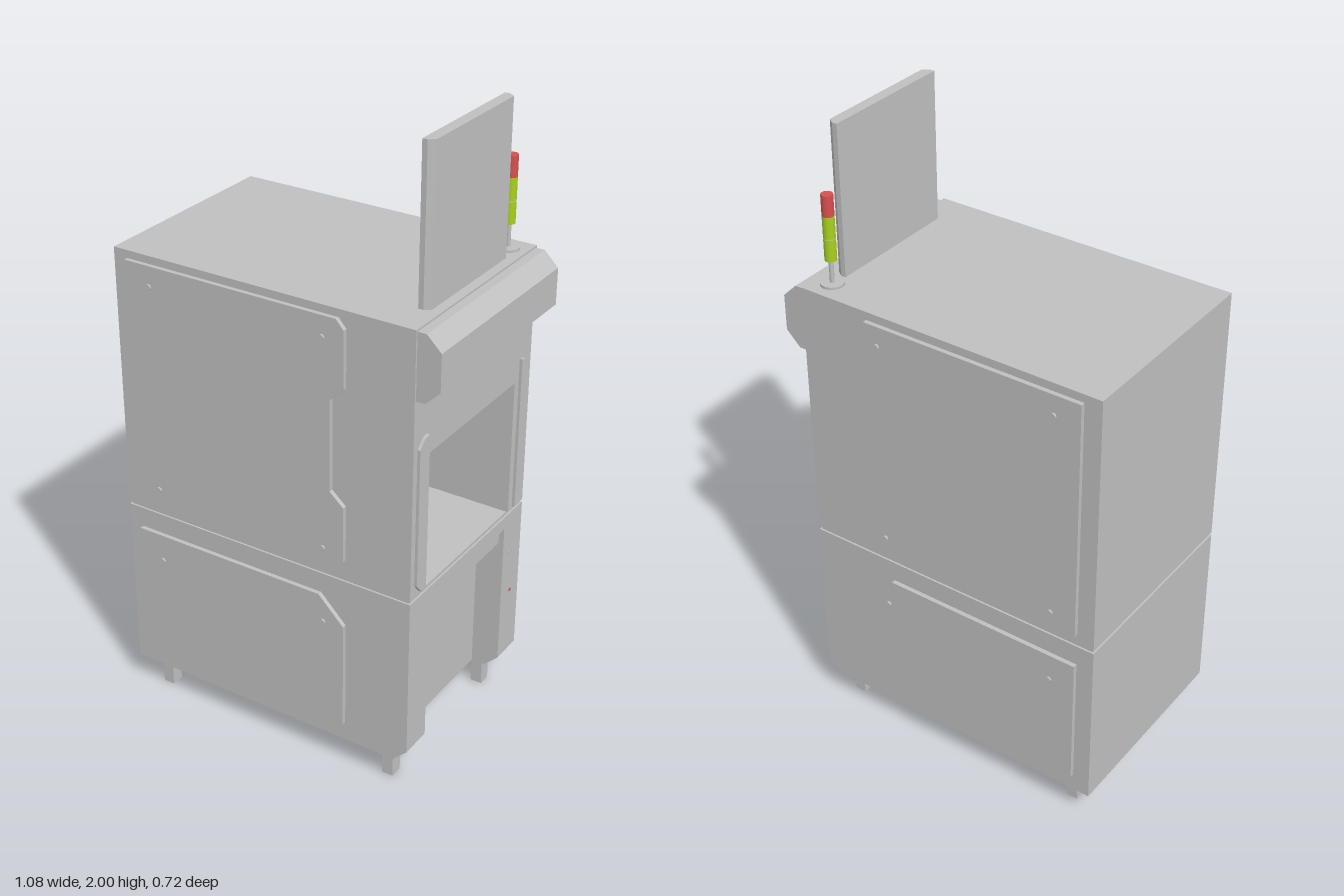
import * as THREE from 'three';

export function createModel() {
  const model = new THREE.Group();
  const mat = (name, color) => {
    const m = new THREE.MeshStandardMaterial({ color });
    m.name = name;
    return m;
  };
  const grey = mat('machine grey', 0xc0c0c0);
  const green = mat('signal green', 0xaad020);
  const red = mat('signal red', 0xd65050);

  const add = (name, geometry, material = grey) => {
    const mesh = new THREE.Mesh(geometry, material);
    mesh.name = name;
    model.add(mesh);
    return mesh;
  };
  const box = (name, x0, x1, y0, y1, z0, z1, m) =>
    add(name, new THREE.BoxGeometry(x1 - x0, y1 - y0, z1 - z0)
      .translate((x0 + x1) / 2, (y0 + y1) / 2, (z0 + z1) / 2), m);
  const extrude = (pts, depth) => new THREE.ExtrudeGeometry(
    new THREE.Shape(pts.map(([a, b]) => new THREE.Vector2(a, b))),
    { depth, bevelEnabled: false });
  // outline in x,y swept along z
  const alongZ = (name, pts, z0, z1) => add(name, extrude(pts, z1 - z0).translate(0, 0, z0));
  // outline in z,y swept along x
  const alongX = (name, pts, x0, x1) => add(name,
    extrude(pts.map(([z, y]) => [-z, y]), x1 - x0).rotateY(Math.PI / 2).translate(x0, 0, 0));
  // outline in x,z swept along y
  const alongY = (name, pts, y0, y1) => add(name,
    extrude(pts.map(([x, z]) => [x, -z]), y1 - y0).rotateX(-Math.PI / 2).translate(0, y0, 0));
  const cylinder = (name, r, y0, y1, x, z, m) => add(name,
    new THREE.CylinderGeometry(r, r, y1 - y0, 32).translate(x, (y0 + y1) / 2, z), m);

  const W = 0.336, BACK = -0.542, FRONT = 0.467;

  // upper cabinet with the work opening
  box('upperCabinetRear', BACK, -0.25, 0.676, 1.526, -W, W);
  alongX('upperCabinetFront', [
    [-W, 0.676], [-0.242, 0.676], [-0.242, 1.12], [0.248, 1.12],
    [0.248, 0.676], [W, 0.676], [W, 1.526], [-W, 1.526],
  ], -0.25, FRONT);
  box('seam', BACK + 0.006, FRONT - 0.006, 0.666, 0.676, -W + 0.006, W - 0.006);

  // lower cabinet: two chamfered cheeks and a recessed middle
  const cheek = [[BACK, 0.095], [0.42, 0.095], [FRONT, 0.14], [FRONT, 0.666], [BACK, 0.666]];
  alongZ('lowerCheekLeft', cheek, 0.23, W);
  alongZ('lowerCheekRight', cheek, -W, -0.225);
  alongZ('lowerMiddle', [
    [BACK, 0.095], [0.375, 0.095], [0.375, 0.624], [FRONT, 0.624], [FRONT, 0.666], [BACK, 0.666],
  ], -0.225, 0.23);
  box('recessBar', 0.375, 0.455, 0.575, 0.624, -0.215, 0.222);

  // feet
  for (const x of [-0.452, 0.383])
    for (const z of [-0.265, 0.284])
      box('foot', x - 0.019, x + 0.019, 0, 0.095, z - 0.021, z + 0.021);

  // visor over the opening
  alongZ('visor', [
    [FRONT, 1.315], [0.495, 1.315], [0.541, 1.36], [0.541, 1.475], [0.495, 1.52], [FRONT, 1.52],
  ], -0.33, 0.33);

  // side doors with bolts
  const upperDoor = [
    [-0.49, 0.72], [0.232, 0.72], [0.255, 0.745], [0.255, 0.925], [0.21, 0.965], [0.21, 1.255],
    [0.255, 1.3], [0.255, 1.477], [0.23, 1.505], [-0.49, 1.505],
  ];
  const lowerDoor = [[-0.49, 0.165], [0.255, 0.165], [0.255, 0.52], [0.17, 0.605], [-0.49, 0.605]];
  for (const s of [1, -1]) {
    const z0 = s > 0 ? 0.342 : -0.356;
    alongZ('upperDoor', upperDoor, z0, z0 + 0.014);
    alongZ('lowerDoor', lowerDoor, z0, z0 + 0.014);
    for (const x of [-0.405, 0.185])
      for (const y of [0.77, 1.44, 0.515])
        add('doorBolt', new THREE.CylinderGeometry(0.009, 0.009, 0.03, 20)
          .rotateX(Math.PI / 2).translate(x, y, s * 0.347));

    // guard strips beside the opening
    alongX('guardStrip', [
      [s * 0.267, 0.685], [s * 0.29, 0.69], [s * 0.315, 0.72],
      [s * 0.315, 1.16], [s * 0.29, 1.185], [s * 0.267, 1.19],
    ], FRONT, 0.476);
  }

  // upright screen
  alongY('screen', [
    [0.402, -0.219], [0.418, -0.219], [0.437, -0.205], [0.437, 0.205], [0.418, 0.219], [0.402, 0.219],
  ], 1.526, 2);

  // signal tower
  const lx = 0.408, lz = -0.27;
  cylinder('lampBase', 0.035, 1.526, 1.534, lx, lz);
  cylinder('lampPole', 0.007, 1.534, 1.605, lx, lz);
  cylinder('lampLowerGreen', 0.018, 1.605, 1.673, lx, lz, green);
  cylinder('lampCollar', 0.016, 1.673, 1.677, lx, lz);
  cylinder('lampUpperGreen', 0.018, 1.677, 1.745, lx, lz, green);
  cylinder('lampRed', 0.018, 1.745, 1.81, lx, lz, red);

  // small controls on the front cheek
  for (const z of [-0.265, -0.283])
    box('controlButton', FRONT, 0.469, 0.512, 0.52, z - 0.004, z + 0.004);
  box('indicator', FRONT, 0.469, 0.366, 0.374, -0.286, -0.278, red);

  return model;
}
